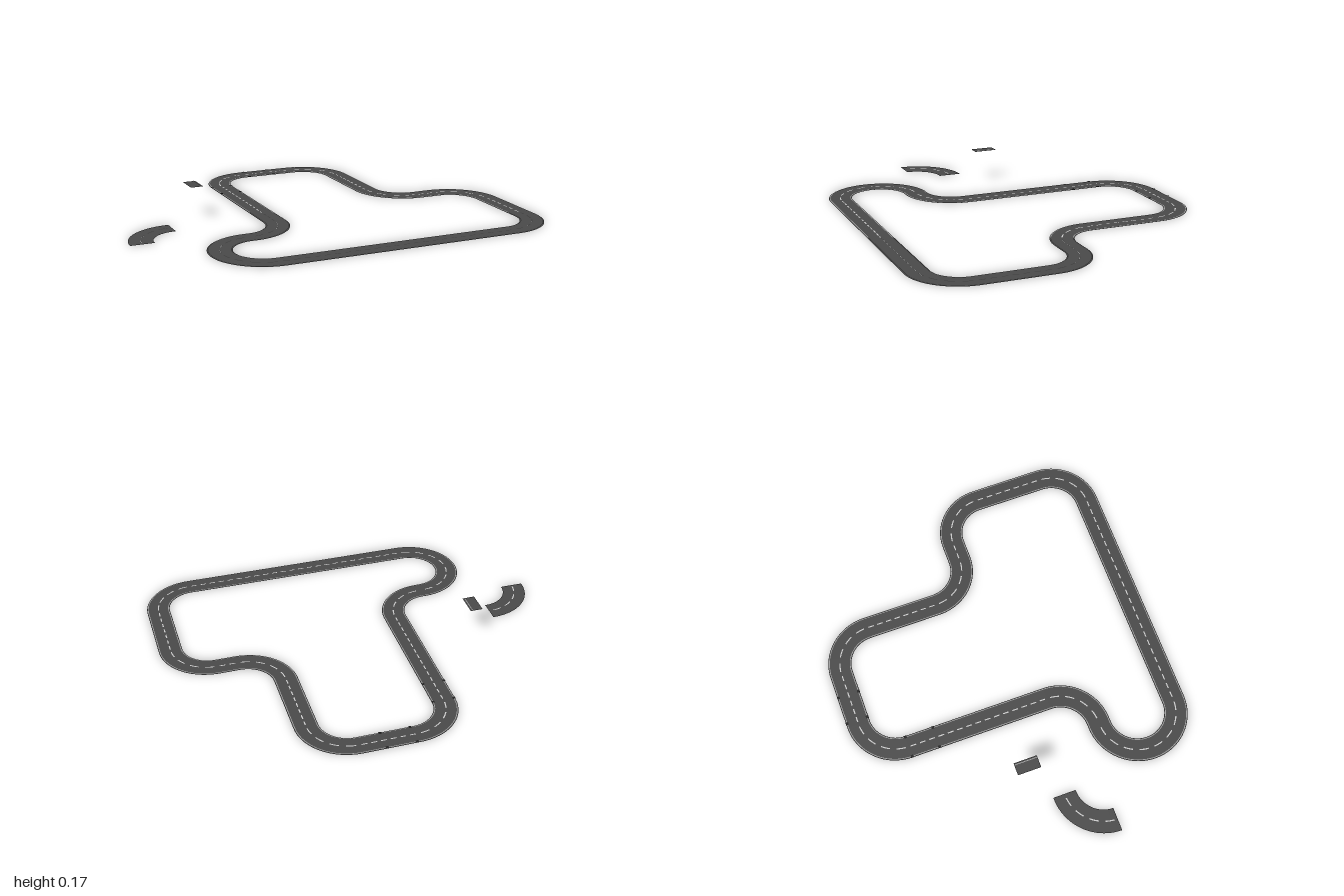
import * as THREE from 'three';
import { mergeGeometries } from 'three/addons/utils/BufferGeometryUtils.js';

const HALF = 0.059;   // half the road width
const RADIUS = 0.2;   // centre line radius of every bend
const Q = Math.PI / 2;

const paint = color => new THREE.MeshStandardMaterial({ color, side: THREE.DoubleSide });
const asphalt = paint(0x4a4a4a);
const white = paint(0xc8c8c8);
const edgeGrey = paint(0xa0a0a0);
const seamDark = paint(0x222222);

const rightOf = a => new THREE.Vector2(Math.sin(a), Math.cos(a));

// Turns a list of { len } and { turn } steps (positive turn = left) into road sections.
function layRoad(x, z, angle, steps) {
  let p = new THREE.Vector2(x, z);
  let a = angle;
  return steps.map(({ len, turn = 0 }) => {
    const a0 = a, p0 = p.clone(), k = Math.sign(turn);
    const centre = p0.clone().addScaledVector(rightOf(a0), -k * RADIUS);
    const length = len ?? Math.abs(turn) * RADIUS;
    const at = t => {
      const ang = a0 + turn * t;
      const pos = turn
        ? centre.clone().addScaledVector(rightOf(ang), k * RADIUS)
        : p0.clone().add(new THREE.Vector2(Math.cos(a0), -Math.sin(a0)).multiplyScalar(length * t));
      return { pos, right: rightOf(ang) };
    };
    p = at(1).pos;
    a = a0 + turn;
    return { at, length, turn };
  });
}

// Flat strip along a section, between two sideways offsets.
function strip(section, from, to, y, t0 = 0, t1 = 1) {
  const n = section.turn ? Math.max(2, Math.ceil(Math.abs(section.turn) * (t1 - t0) * 14)) : 1;
  const pos = [], normal = [], index = [];
  for (let i = 0; i <= n; i++) {
    const f = section.at(t0 + (t1 - t0) * i / n);
    for (const o of [from, to]) {
      pos.push(f.pos.x + f.right.x * o, y, f.pos.y + f.right.y * o);
      normal.push(0, 1, 0);
    }
    if (i < n) index.push(2 * i, 2 * i + 1, 2 * i + 3, 2 * i, 2 * i + 3, 2 * i + 2);
  }
  const g = new THREE.BufferGeometry();
  g.setAttribute('position', new THREE.Float32BufferAttribute(pos, 3));
  g.setAttribute('normal', new THREE.Float32BufferAttribute(normal, 3));
  g.setIndex(index);
  return g;
}

// Centre dashes: short on straights, longer round the bends.
function dashes(section, y) {
  const count = Math.max(1, Math.round(section.length / (section.turn ? 0.079 : 0.05)));
  return Array.from({ length: count }, (_, i) =>
    strip(section, -0.003, 0.003, y, (i + 0.2) / count, (i + 0.8) / count));
}

function part(name, geometries, material) {
  const mesh = new THREE.Mesh(mergeGeometries(geometries), material);
  mesh.name = name;
  return mesh;
}

export function createModel() {
  const model = new THREE.Group();
  model.name = 'roadCircuit';

  // Closed circuit
  const circuit = layRoad(-0.46, 0.77, 0, [
    { len: 1.2 }, { turn: Q }, { len: 0.36 }, { turn: Q }, { len: 0.1 }, { turn: -Q },
    { len: 0.38 }, { turn: Q }, { len: 0.28 }, { turn: Q }, { len: 0.74 }, { turn: -Q },
    { len: 0.02 }, { turn: 2 * Q },
  ]);
  const loop = new THREE.Group();
  loop.name = 'circuit';
  loop.add(
    part('roadSurface', circuit.map(s => strip(s, -HALF, HALF, 0)), asphalt),
    part('edgeLines', circuit.flatMap(s =>
      [-1, 1].map(k => strip(s, k * 0.053 - 0.002, k * 0.053 + 0.002, 0.002))), edgeGrey),
    part('centreDashes', circuit.filter(s => s.length > 0.05).flatMap(s => dashes(s, 0.002)), white),
  );

  // Dark joints at the road edges
  const seams = [];
  for (const k of [-1, 1]) {
    for (const z of [-0.57, -0.425]) seams.push([-0.24 + k * 0.053, z]);
    for (const x of [-0.02, 0.125]) seams.push([x, -0.77 + k * 0.053]);
  }
  loop.add(part('jointMarks', seams.map(([x, z]) =>
    new THREE.PlaneGeometry(0.014, 0.014).rotateX(-Q).translate(x, 0.003, z)), seamDark));
  model.add(loop);

  // Loose bend beside the circuit
  const bend = layRoad(-0.733, 0.075, 2 * Q, [{ len: 0.007 }, { turn: Q }]);
  const loose = new THREE.Group();
  loose.name = 'looseBend';
  loose.add(
    part('bendSurface', bend.map(s => strip(s, -HALF, HALF, 0)), asphalt),
    part('bendDashes', dashes(bend[1], 0.002), white),
  );
  model.add(loose);

  // Raised half-width road tile
  const half = layRoad(-0.606, -0.005, Q, [{ len: 0.12 }])[0];
  const tile = new THREE.Group();
  tile.name = 'raisedHalfTile';
  tile.add(
    part('tileSurface', [strip(half, 0, 0.063, 0.167)], asphalt),
    part('tileEdgeLine', [strip(half, 0.051, 0.055, 0.169)], edgeGrey),
  );
  model.add(tile);
  return model;
}
